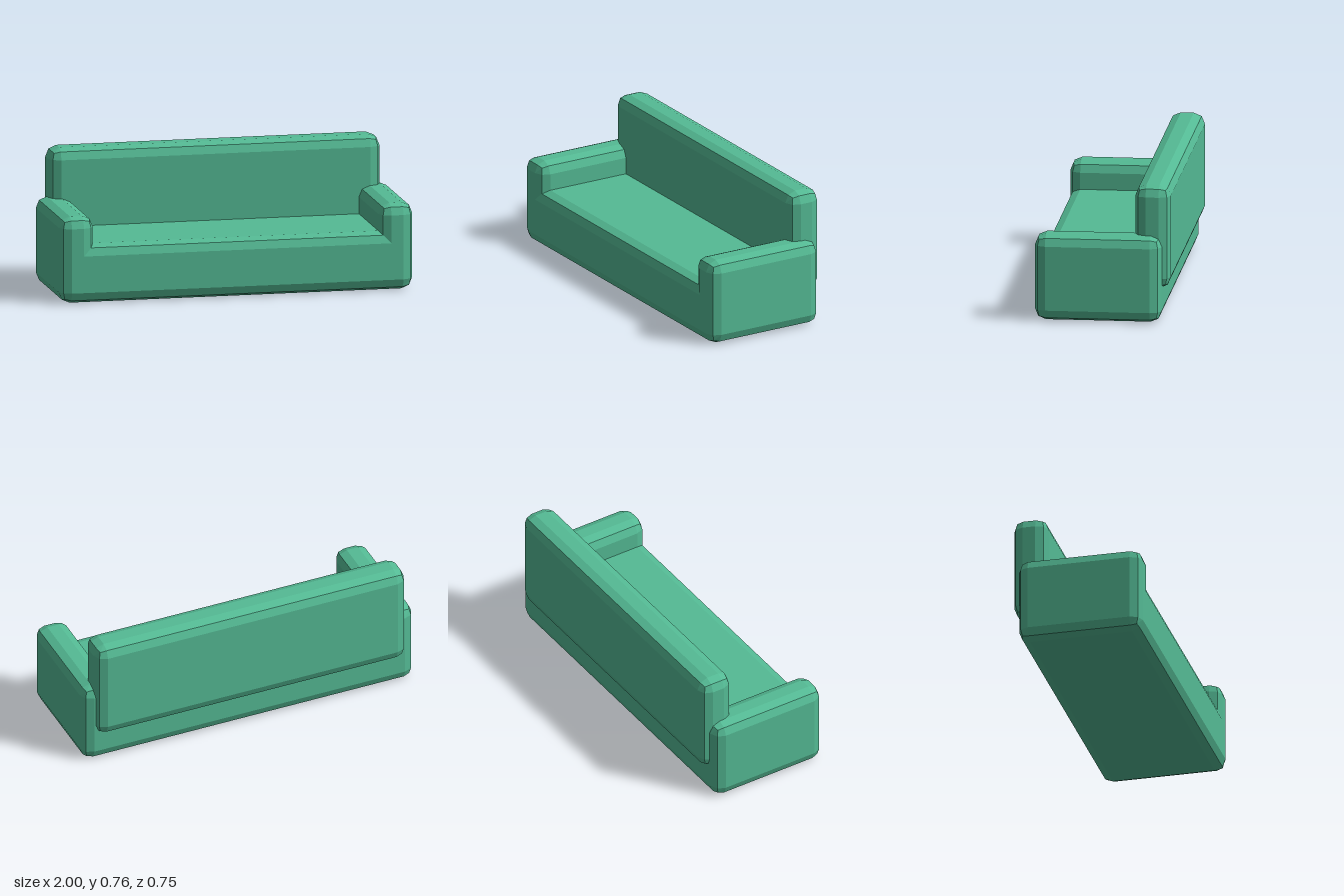
import * as THREE from 'three';
import { RoundedBoxGeometry } from 'three/addons/geometries/RoundedBoxGeometry.js';

const BEVEL = 0.062;

export function createModel() {
  const sofa = new THREE.Group();
  sofa.name = 'sofa';

  const fabric = new THREE.MeshStandardMaterial({ color: 0x54ba94, flatShading: true });
  fabric.name = 'green fabric';

  // Faceted cushion block given by its extents on each axis
  function block(name, [x0, x1], [y0, y1], [z0, z1]) {
    const geometry = new RoundedBoxGeometry(x1 - x0, y1 - y0, z1 - z0, 1, BEVEL);
    const mesh = new THREE.Mesh(geometry, fabric);
    mesh.name = name;
    mesh.position.set((x0 + x1) / 2, (y0 + y1) / 2, (z0 + z1) / 2);
    sofa.add(mesh);
  }

  const depth = [-0.33, 0.374];

  // Seat runs the full width, below the arms
  block('seat', [-1, 1], [0, 0.33], depth);

  // Armrests reach down to the floor
  block('leftArm', [0.808, 1], [0, 0.486], depth);
  block('rightArm', [-1, -0.808], [0, 0.486], depth);

  // Backrest is set into the rear of the seat and stands a little proud of it
  block('backrest', [-0.937, 0.937], [0.179, 0.765], [-0.374, -0.178]);

  return sofa;
}
